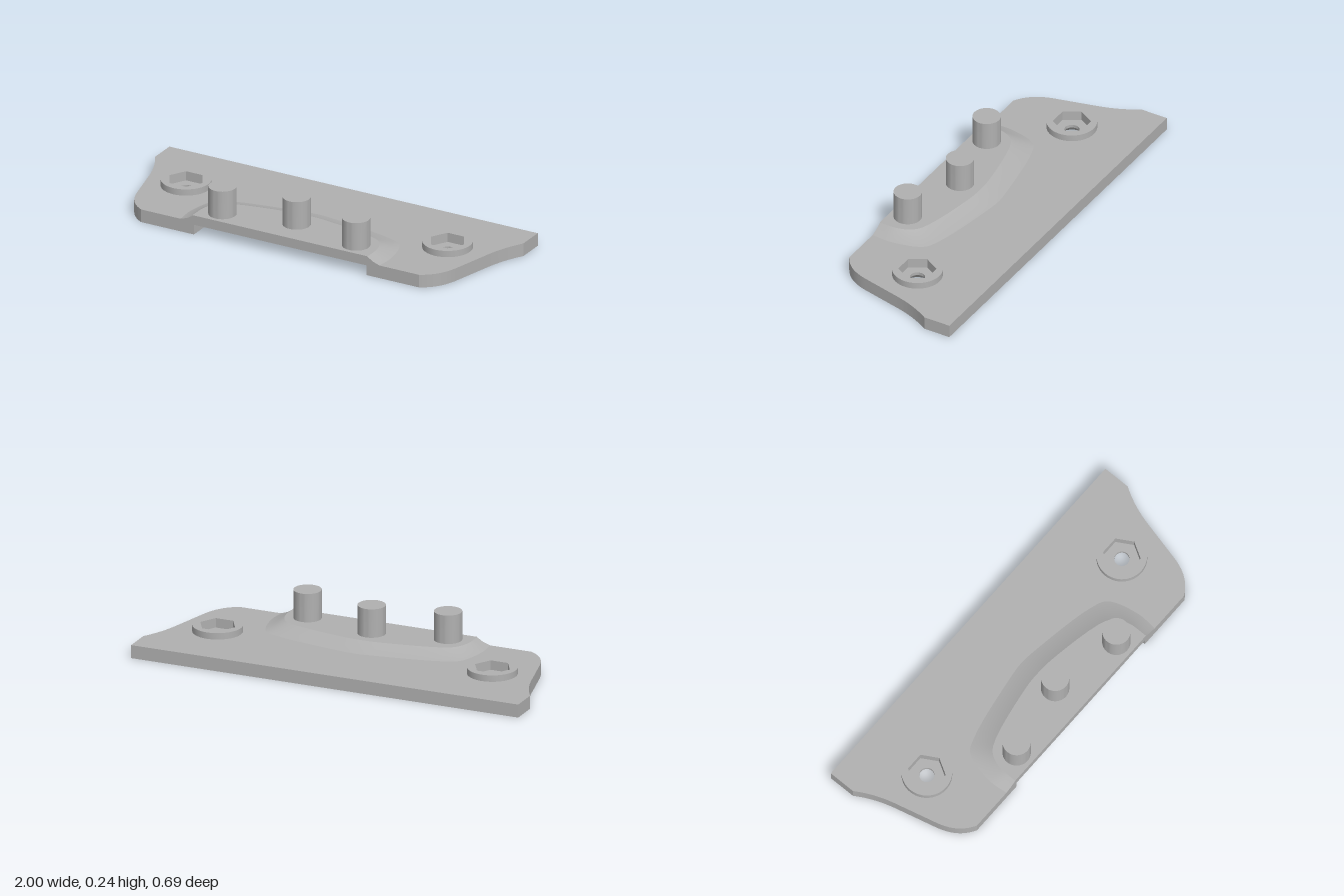
import * as THREE from 'three';
import { toCreasedNormals } from 'three/addons/utils/BufferGeometryUtils.js';

const FRONT = 0.347, CEILING = 0.05, PLATE = 0.065, DECK = 0.098, BOLT_X = 0.71;
const PINS = [[-0.363, 0.26], [0, 0.19], [0.363, 0.26]];

export function createModel() {
  const group = new THREE.Group();
  const grey = new THREE.MeshStandardMaterial({ color: 0xb0b0b0 });
  grey.name = 'plain grey';

  const add = (name, geometry, x = 0, y = 0, z = 0, crease = 0.5) => {
    const mesh = new THREE.Mesh(toCreasedNormals(geometry, crease), grey);
    mesh.name = name;
    mesh.position.set(x, y, z);
    group.add(mesh);
    return mesh;
  };
  const lathe = (pts, n = 48) => new THREE.LatheGeometry(pts.map(p => new THREE.Vector2(...p)), n);

  // Shapes are drawn in x and z, then extruded from y0 up to y1
  const slab = (shape, y0, y1) => new THREE.ExtrudeGeometry(shape, {
    depth: y1 - y0, bevelEnabled: false, curveSegments: 24,
  }).rotateX(Math.PI / 2).translate(0, y1, 0);
  const circle = (x, z, r) => new THREE.Path().absarc(x, z, r, 0, Math.PI * 2, true);
  const hexagon = (x, z, r) => new THREE.Path(Array.from({ length: 6 }, (_, i) =>
    new THREE.Vector2(x + r * Math.cos(i * Math.PI / 3), z + r * Math.sin(i * Math.PI / 3))));

  // Plate outline, optionally with the recess cut into the front edge
  const outline = (recessed) => {
    const s = new THREE.Shape();
    s.moveTo(-1, -FRONT);
    s.lineTo(1, -FRONT);
    s.lineTo(1, -0.21);
    s.bezierCurveTo(0.95, -0.13, 0.928, -0.06, 0.912, 0.01);
    s.lineTo(0.868, 0.19);
    s.bezierCurveTo(0.85, 0.26, 0.82, 0.31, 0.755, FRONT);
    if (recessed) {
      s.lineTo(0.468, FRONT);
      s.lineTo(0.468, 0.255);
      s.lineTo(0.12, 0.075);
      s.quadraticCurveTo(0, 0.035, -0.12, 0.075);
      s.lineTo(-0.468, 0.255);
      s.lineTo(-0.468, FRONT);
    }
    s.lineTo(-0.755, FRONT);
    s.bezierCurveTo(-0.82, 0.31, -0.85, 0.26, -0.868, 0.19);
    s.lineTo(-0.912, 0.01);
    s.bezierCurveTo(-0.928, -0.06, -0.95, -0.13, -1, -0.21);
    return s;
  };

  // Lower layer holds the front recess, upper layer closes it
  const lower = outline(true), upper = outline(false);
  for (const s of [-1, 1]) {
    lower.holes.push(circle(s * BOLT_X, 0, 0.07));
    upper.holes.push(hexagon(s * BOLT_X, 0, 0.09));
  }
  for (const [x, z] of PINS) upper.holes.push(circle(x, z, 0.03));
  add('lowerPlate', slab(lower, 0, CEILING));
  add('upperPlate', slab(upper, CEILING, PLATE));

  // Raised deck: a sloping loft from its foot line to its top line
  const half = (pts) => {
    const all = [...pts, ...pts.slice(0, -1).reverse().map(([x, z]) => [-x, z])];
    return new THREE.CatmullRomCurve3(all.map(([x, z]) => new THREE.Vector3(x, 0, z)), false, 'centripetal');
  };
  const foot = half([[-0.54, FRONT], [-0.545, 0.24], [-0.5, 0.09], [-0.42, 0.05], [-0.1, -0.01], [0, -0.02]]);
  const top = half([[-0.47, FRONT], [-0.475, 0.27], [-0.455, 0.2], [-0.41, 0.155], [-0.09, 0.085], [0, 0.08]]);
  const N = 60, ROWS = 4, pos = [], idx = [];
  const rows = [[0, PLATE], [0.5, 0.077], [1, DECK]];
  for (let j = 0; j < ROWS; j++) {
    for (let i = 0; i <= N; i++) {
      const a = foot.getPoint(i / N), b = top.getPoint(i / N);
      if (j < 3) {
        a.lerp(b, rows[j][0]);
        pos.push(a.x, rows[j][1], a.z);
      } else pos.push(b.x, DECK, FRONT);
    }
  }
  for (let j = 0; j < ROWS - 1; j++) {
    for (let i = 0; i < N; i++) {
      const a = j * (N + 1) + i, b = a + 1, c = a + N + 1, d = c + 1;
      idx.push(a, c, b, b, c, d);
    }
  }
  const deck = new THREE.BufferGeometry();
  deck.setAttribute('position', new THREE.Float32BufferAttribute(pos, 3));
  deck.setIndex(idx);
  add('raisedDeck', deck, 0, 0, 0, 0.25);
  const face = [[-0.54, PLATE], [0.54, PLATE], [0.505, 0.077], [0.47, DECK], [-0.47, DECK], [-0.505, 0.077]];
  add('deckFront', new THREE.ShapeGeometry(new THREE.Shape(face.map(p => new THREE.Vector2(...p)))), 0, 0, FRONT);

  // Bolt bosses with hexagonal pockets and countersunk holes below
  for (const s of [-1, 1]) {
    const side = s > 0 ? 'left' : 'right';
    const ring = new THREE.Shape().absarc(0, 0, 0.12, 0, Math.PI * 2, false);
    ring.holes.push(hexagon(0, 0, 0.09));
    add(side + 'BoltBoss', slab(ring, PLATE, 0.097), s * BOLT_X);
    add(side + 'BoltHole', lathe([[0.1, CEILING], [0.036, CEILING], [0.036, 0.035], [0.07, 0]]), s * BOLT_X);
  }

  // Upright pins, bored from underneath
  PINS.forEach(([x, z], i) => {
    const name = ['right', 'middle', 'left'][i] + 'Pin';
    add(name, new THREE.CylinderGeometry(0.067, 0.067, 0.24 - PLATE, 48), x, (0.24 + PLATE) / 2, z);
    add(name + 'Bore', lathe([[0, 0.2], [0.03, 0.2], [0.03, CEILING]], 32), x, 0, z);
  });

  return group;
}
